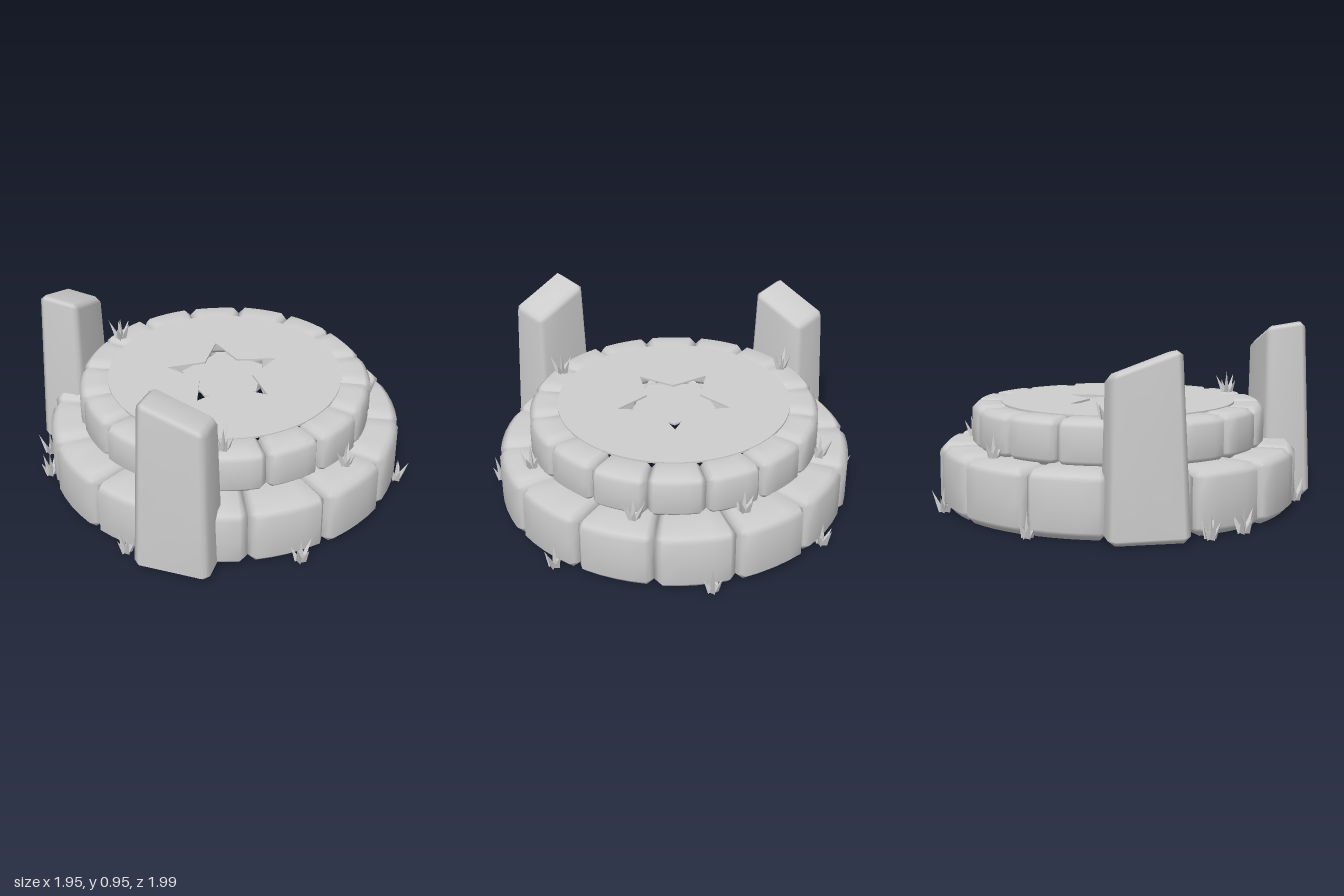
import * as THREE from 'three';
import { mergeVertices, mergeGeometries } from 'three/addons/utils/BufferGeometryUtils.js';

const stone = new THREE.MeshStandardMaterial({ color: 0xcccccc });
stone.name = 'grey stone';
const CX = -0.02, CZ = -0.01;

let seed = 7;
const rand = () => (seed = (seed * 16807) % 2147483647) / 2147483647;

// Chamfered box with subdivided faces, reshaped by warp(v)
function softBox(w, h, d, bevel, warp, segs = 6) {
  const geo = new THREE.BoxGeometry(1, 1, 1, segs, 4, 4);
  geo.deleteAttribute('uv');
  geo.deleteAttribute('normal');
  const pos = geo.attributes.position;
  const half = [w / 2, h / 2, d / 2], count = [segs, 4, 4];
  const v = new THREE.Vector3();
  for (let i = 0; i < pos.count; i++) {
    v.fromBufferAttribute(pos, i);
    const core = [], off = [];
    v.toArray().forEach((p, k) => {
      const n = count[k], step = Math.round((p + 0.5) * n), inner = half[k] - bevel;
      // the outermost rows become the chamfer, the rest spread over the face
      const t = THREE.MathUtils.clamp((step - 1) / (n - 2), 0, 1);
      core[k] = -inner + 2 * inner * t;
      off[k] = step === 0 ? -1 : step === n ? 1 : 0;
    });
    const sum = off.reduce((s, o) => s + Math.abs(o), 0);
    const push = new THREE.Vector3(...off).multiplyScalar(bevel / sum);
    v.set(...core).add(push);
    warp(v);
    pos.setXYZ(i, v.x, v.y, v.z);
  }
  const merged = mergeVertices(geo, 1e-5);
  merged.computeVertexNormals();
  return merged;
}

// Ring of curved blocks; start is the angle of one joint, measured from +x towards +z
function stoneRing(name, n, start, inner, outer, y0, y1, bevel) {
  const ring = new THREE.Group();
  ring.name = name;
  const step = (Math.PI * 2) / n, mid = (inner + outer) / 2;
  for (let i = 0; i < n; i++) {
    const centre = start + (i + 0.5) * step;
    const grow = (rand() - 0.5) * 0.012, drop = rand() * 0.008;
    const geo = softBox(outer * step, y1 - y0 - drop, outer - inner, bevel, v => {
      const a = centre - v.x / outer, r = mid + v.z + grow;
      v.set(Math.cos(a) * r, v.y + (y0 + y1 - drop) / 2, Math.sin(a) * r);
    });
    const block = new THREE.Mesh(geo, stone);
    block.name = name + 'Block';
    ring.add(block);
  }
  ring.position.set(CX, 0, CZ);
  return ring;
}

// Tapered standing stone with a slanted top; side is +1 at the front, -1 at the back
function pillar(side, height) {
  const geo = softBox(0.39, 1, 0.26, 0.035, v => {
    const t = v.y + 0.5, taper = 1 - 0.16 * t;
    const top = height - 0.05 - 0.3 * v.x + 0.12 * v.z;
    v.set(v.x * taper, 0.01 + t * (top - 0.01), v.z * taper);
    // local x runs along the ring, local z points outwards
    const c = Math.SQRT1_2, x = v.x, z = v.z;
    v.set(-0.622 + 0.012 * t + c * (x - z), v.y, 0.672 + c * (x + z));
  }, 4);
  if (side < 0) {
    // mirror and restore the winding
    geo.scale(1, 1, -1);
    const idx = geo.index;
    for (let i = 0; i < idx.count; i += 3) {
      const a = idx.getX(i);
      idx.setX(i, idx.getX(i + 1));
      idx.setX(i + 1, a);
    }
    geo.computeVertexNormals();
  }
  const mesh = new THREE.Mesh(geo, stone);
  mesh.name = side > 0 ? 'frontPillar' : 'backPillar';
  return mesh;
}

function polygon(path, n, radii) {
  for (let i = 0; i < n; i++) {
    const a = (i * Math.PI * 2) / n, r = radii[i % radii.length];
    path[i ? 'lineTo' : 'moveTo'](Math.cos(a) * r, Math.sin(a) * r);
  }
  path.closePath();
  return path;
}

function slab(name, shape, y, depth) {
  const geo = new THREE.ExtrudeGeometry(shape, { depth, bevelEnabled: false, curveSegments: 48 });
  geo.rotateX(-Math.PI / 2);
  const mesh = new THREE.Mesh(geo, stone);
  mesh.name = name;
  mesh.position.set(CX, y, CZ);
  return mesh;
}

// Tuft of five leaning blades around an upright one
function tuftGeometry() {
  const blades = [];
  for (let i = 0; i < 6; i++) {
    const len = i === 5 ? 0.125 : 0.09 + 0.015 * ((i * 2) % 3);
    const blade = new THREE.ConeGeometry(0.018, len, 3).toNonIndexed();
    blade.translate(0, len / 2, 0);
    if (i < 5) {
      blade.rotateZ(-0.42);
      blade.translate(0.014, 0, 0);
      blade.rotateY((i * Math.PI * 2) / 5);
    }
    blade.computeVertexNormals();
    blades.push(blade);
  }
  return mergeGeometries(blades);
}

export function createModel() {
  const model = new THREE.Group();
  model.name = 'stonePlatform';

  model.add(stoneRing('lowerRing', 14, 0.125, 0.615, 0.932, 0.007, 0.332, 0.042));
  model.add(stoneRing('upperRing', 16, Math.PI / 16, 0.565, 0.766, 0.315, 0.545, 0.035));

  // Floor with a star-shaped opening and a five-sided plate below it
  const floor = new THREE.Shape().absarc(0, 0, 0.615, 0, Math.PI * 2);
  floor.holes.push(polygon(new THREE.Path(), 10, [0.31, 0.148]));
  model.add(slab('floor', floor, 0.538, 0.01));
  model.add(slab('starBackPlate', polygon(new THREE.Shape(), 5, [0.23]), 0.523, 0.01));

  model.add(pillar(1, 0.94), pillar(-1, 0.885));

  // Grass tufts: x, y, z
  const tuft = tuftGeometry();
  [
    [-0.14, 0.01, -0.94], [0.54, 0.01, -0.76], [-0.86, 0.01, -0.48], [-0.93, 0.01, -0.29],
    [0.91, 0.01, -0.18], [-0.82, 0.01, 0.49], [-0.09, 0.01, 0.94], [0.7, 0.01, 0.6],
    [0.2, 0.32, -0.77], [0.69, 0.32, -0.34], [0.74, 0.32, 0.2], [0.28, 0.32, 0.73],
    [-0.36, 0.54, -0.61], [-0.34, 0.53, 0.6],
  ].forEach(([x, y, z], i) => {
    const mesh = new THREE.Mesh(tuft, stone);
    mesh.name = 'grassTuft';
    mesh.position.set(x, y, z);
    mesh.rotation.y = i * 1.9;
    model.add(mesh);
  });
  return model;
}
